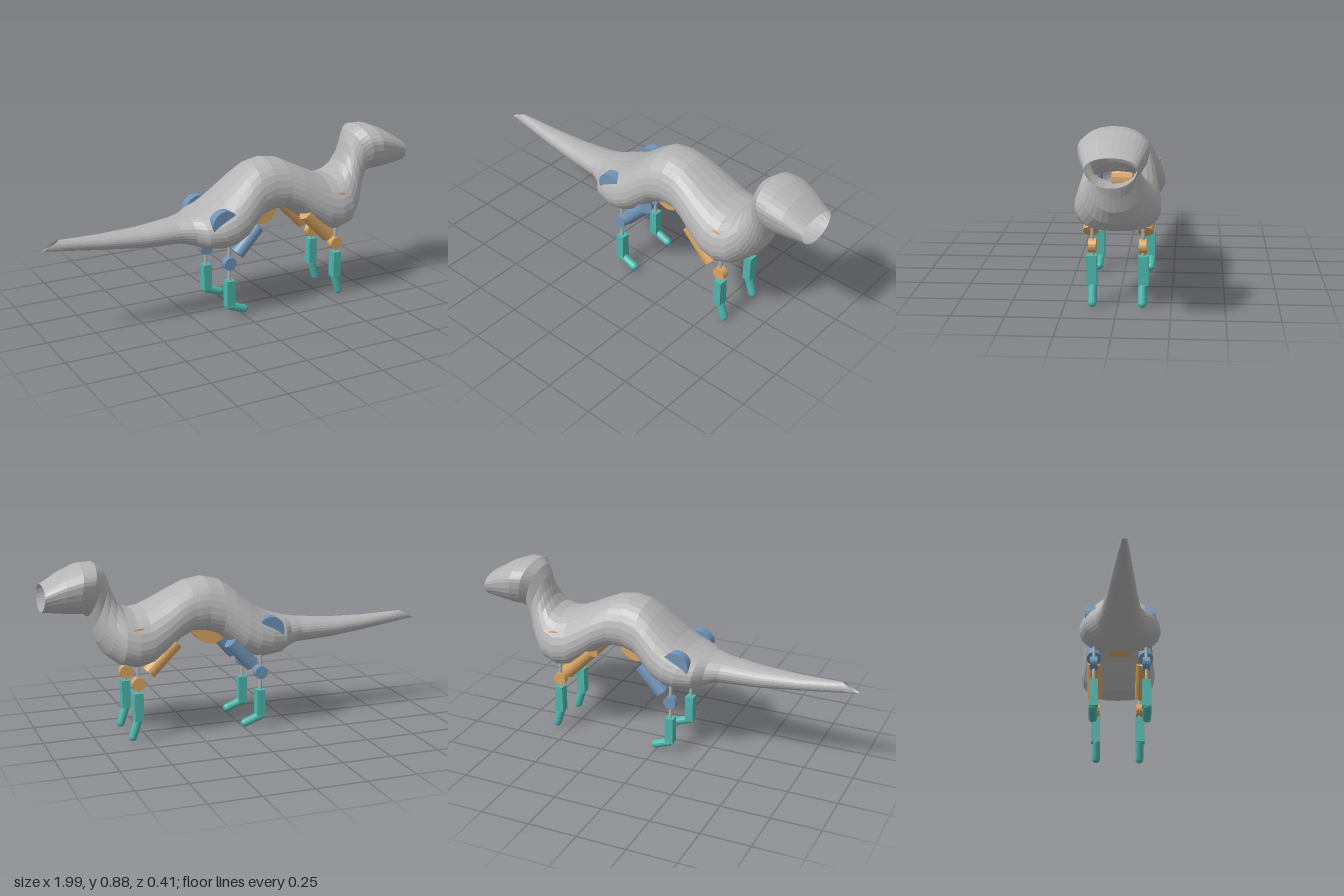
import * as THREE from 'three';

const mat = (name, color, extra = {}) => {
  const m = new THREE.MeshStandardMaterial({ color, flatShading: true, ...extra });
  m.name = name;
  return m;
};

// Body sections: top x, top y, bottom x, bottom y, half width, height of widest point (0..1)
const SECTIONS = [
  [-0.92, 0.512, -1.0, 0.468, 0.014, 0.5],
  [-0.88, 0.51, -0.9, 0.455, 0.026, 0.5],
  [-0.7, 0.505, -0.7, 0.43, 0.05, 0.5],
  [-0.5, 0.51, -0.5, 0.408, 0.073, 0.5],
  [-0.33, 0.527, -0.3, 0.4, 0.098, 0.5],
  [-0.26, 0.538, -0.24, 0.385, 0.125, 0.48],
  [-0.22, 0.55, -0.19, 0.368, 0.175, 0.45],
  [-0.15, 0.575, -0.1, 0.36, 0.2, 0.45],
  [-0.09, 0.61, -0.04, 0.37, 0.205, 0.43],
  [-0.02, 0.665, 0.02, 0.4, 0.197, 0.4],
  [0.04, 0.715, 0.07, 0.445, 0.18, 0.4],
  [0.1, 0.755, 0.12, 0.49, 0.163, 0.4],
  [0.18, 0.773, 0.19, 0.512, 0.155, 0.4],
  [0.27, 0.758, 0.26, 0.515, 0.158, 0.4],
  [0.35, 0.72, 0.33, 0.485, 0.173, 0.4],
  [0.42, 0.685, 0.4, 0.425, 0.187, 0.4],
  [0.5, 0.65, 0.47, 0.375, 0.198, 0.4],
  [0.555, 0.643, 0.55, 0.36, 0.2, 0.4],
  [0.6, 0.66, 0.63, 0.38, 0.185, 0.4],
  [0.63, 0.7, 0.69, 0.425, 0.15, 0.42],
];
const HEAD_SECTIONS = [
  [0.65, 0.75, 0.73, 0.49, 0.12, 0.46],
  [0.665, 0.8, 0.75, 0.56, 0.105, 0.52],
  [0.69, 0.85, 0.77, 0.62, 0.115, 0.6],
  [0.73, 0.88, 0.79, 0.635, 0.147, 0.66],
  [0.8, 0.877, 0.83, 0.638, 0.157, 0.66],
  [0.88, 0.845, 0.9, 0.645, 0.14, 0.65],
  [0.98, 0.785, 0.99, 0.657, 0.112, 0.64],
];

// Loft one closed ring per section, open at the tail tip and the muzzle
function bodyGeometry(sections, sides) {
  const pos = [], index = [];
  sections.forEach(([tx, ty, bx, by, w, m], i) => {
    const torso = tx > -0.3 && tx < 0.62;
    for (let j = 0; j < sides; j++) {
      const a = (j / sides) * Math.PI * 2;
      const c = Math.cos(a), s = Math.sin(a);
      const t = c > 0 ? m + (1 - m) * c : m + m * c;
      const power = torso ? (c > 0 ? 0.85 : 0.65) : 0.95;
      const z = w * Math.sign(s) * Math.pow(Math.abs(s) < 1e-6 ? 0 : Math.abs(s), power);
      pos.push(bx + (tx - bx) * t, by + (ty - by) * t, z);
      if (i < sections.length - 1) {
        const k = (j + 1) % sides, p = i * sides, q = p + sides;
        index.push(p + j, p + k, q + j, p + k, q + k, q + j);
      }
    }
  });
  const g = new THREE.BufferGeometry();
  g.setAttribute('position', new THREE.Float32BufferAttribute(pos, 3));
  g.setIndex(index);
  g.computeVertexNormals();
  return g;
}

export function createModel() {
  const model = new THREE.Group();
  model.name = 'animal';
  const skin = mat('skin grey', 0xb4b4b4, { side: THREE.DoubleSide });
  const steel = mat('rod grey', 0xb0b0b0);
  const orange = mat('front joint orange', 0xd9a562);
  const blue = mat('rear joint blue', 0x7094b8);
  const teal = mat('lower leg teal', 0x4db6ac);

  const add = (parent, name, geo, material, x = 0, y = 0, z = 0) => {
    const mesh = new THREE.Mesh(geo, material);
    mesh.name = name;
    mesh.position.set(x, y, z);
    parent.add(mesh);
    return mesh;
  };
  // Disc with its axis across the body
  const disc = (parent, name, r, len, material, x, y, z) =>
    add(parent, name, new THREE.CylinderGeometry(r, r, len, 28).rotateX(Math.PI / 2), material, x, y, z);
  // Cylinder or capsule running between two points of the side plane
  const link = (parent, name, r, [x1, y1], [x2, y2], z, material, round = false) => {
    const len = Math.hypot(x2 - x1, y2 - y1);
    const geo = round ? new THREE.CapsuleGeometry(r, len, 6, 16) : new THREE.CylinderGeometry(r, r, len, 24);
    const mesh = add(parent, name, geo, material, (x1 + x2) / 2, (y1 + y2) / 2, z);
    mesh.rotation.z = Math.atan2(y2 - y1, x2 - x1) - Math.PI / 2;
    return mesh;
  };

  // Hollow outer body from tail to muzzle
  add(model, 'bodyShell', bodyGeometry([...SECTIONS, ...HEAD_SECTIONS], 28), skin);

  // Spine joint under the belly
  disc(model, 'spineJoint', 0.09, 0.1, orange, 0.15, 0.527, 0);

  for (const side of [1, -1]) {
    const label = side > 0 ? 'left' : 'right';

    // Front leg
    const front = new THREE.Group();
    front.name = label + 'FrontLeg';
    disc(front, 'shoulderJoint', 0.065, 0.05, orange, 0.55, 0.51, side * 0.145);
    link(front, 'upperLeg', 0.037, [0.36, 0.485], [0.5, 0.345], side * 0.128, orange);
    link(front, 'legRod', 0.008, [0.55, 0.42], [0.55, 0.23], side * 0.118, steel);
    disc(front, 'kneeJoint', 0.033, 0.036, orange, 0.55, 0.29, side * 0.117);
    add(front, 'lowerLeg', new THREE.BoxGeometry(0.044, 0.14, 0.048), teal, 0.553, 0.175, side * 0.12);
    link(front, 'foot', 0.021, [0.555, 0.105], [0.582, 0.023], side * 0.116, teal, true);
    model.add(front);

    // Rear leg
    const rear = new THREE.Group();
    rear.name = label + 'RearLeg';
    disc(rear, 'hipJoint', 0.07, 0.05, blue, -0.12, 0.51, side * 0.15);
    link(rear, 'upperLeg', 0.036, [0.08, 0.46], [-0.035, 0.335], side * 0.13, blue);
    link(rear, 'legRod', 0.008, [-0.08, 0.42], [-0.08, 0.19], side * 0.13, steel);
    disc(rear, 'kneeJoint', 0.033, 0.036, blue, -0.08, 0.29, side * 0.13);
    add(rear, 'lowerLeg', new THREE.BoxGeometry(0.044, 0.14, 0.044), teal, -0.078, 0.13, side * 0.13);
    link(rear, 'foot', 0.021, [-0.076, 0.062], [0.003, 0.033], side * 0.133, teal, true);
    model.add(rear);
  }
  return model;
}
